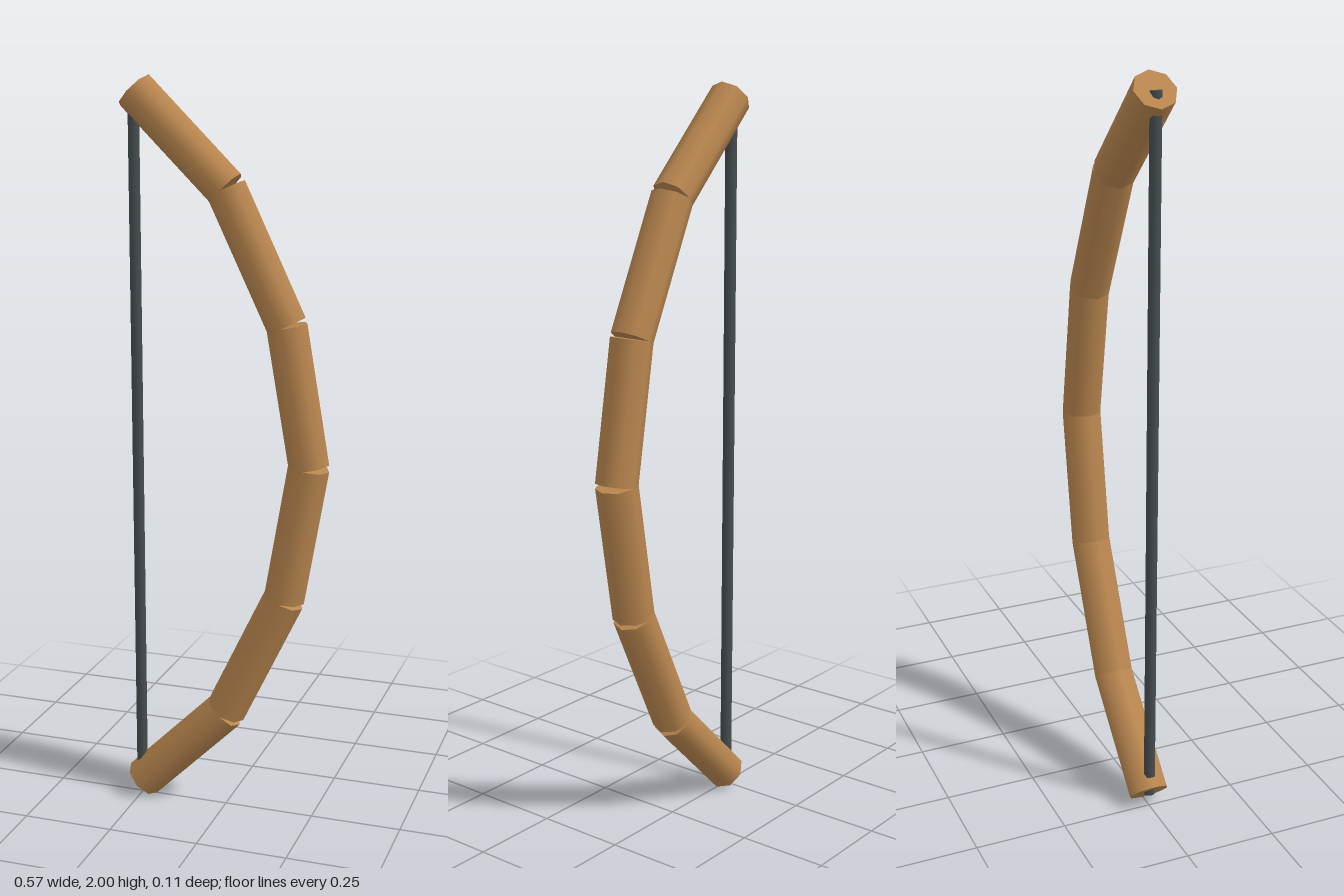
import * as THREE from 'three';

export function createModel() {
  const group = new THREE.Group();
  const wood = new THREE.MeshStandardMaterial({ color: 0xb9864f });
  const cord = new THREE.MeshStandardMaterial({ color: 0x464d50 });

  // straight eight-sided rod between two points in the xy plane
  function rod(name, a, b, radius, material) {
    const from = new THREE.Vector3(a[0], a[1], 0);
    const to = new THREE.Vector3(b[0], b[1], 0);
    const dir = to.clone().sub(from);
    const mesh = new THREE.Mesh(new THREE.CylinderGeometry(radius, radius, dir.length(), 8), material);
    mesh.position.copy(from).add(to).multiplyScalar(0.5);
    mesh.rotation.z = Math.atan2(-dir.x, dir.y);
    mesh.name = name;
    group.add(mesh);
  }

  // joints of the upper limb, from grip to tip, mirrored about y = 1
  const joints = [[0.229, 1], [0.165, 1.371], [0, 1.716], [-0.247, 1.96]];
  const mirror = ([x, y]) => [x, 2 - y];
  for (let i = 0; i < joints.length - 1; i++) {
    rod('upperLimb' + (i + 1), joints[i], joints[i + 1], 0.056, wood);
    rod('lowerLimb' + (i + 1), mirror(joints[i + 1]), mirror(joints[i]), 0.056, wood);
  }

  // bowstring
  rod('bowstring', [-0.251, 0.041], [-0.251, 1.959], 0.016, cord);
  return group;
}
